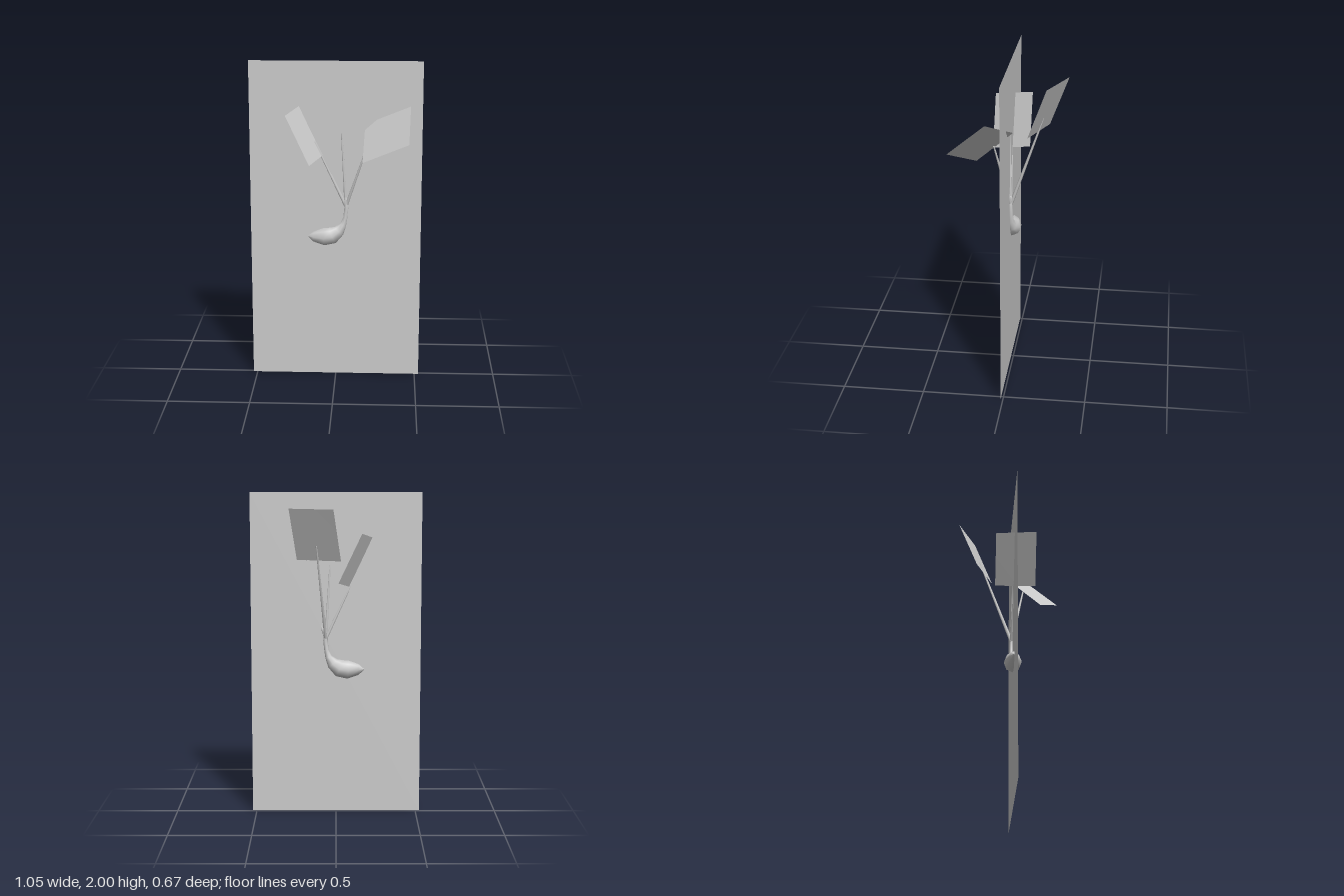
import * as THREE from 'three';

export function createModel() {
  const model = new THREE.Group();
  const smooth = new THREE.MeshStandardMaterial({ color: 0xcccccc });
  const sheet = new THREE.MeshStandardMaterial({ color: 0xcccccc, side: THREE.DoubleSide });

  function add(name, geometry, material) {
    const mesh = new THREE.Mesh(geometry, material);
    mesh.name = name;
    model.add(mesh);
    return mesh;
  }

  // Upright backing panel
  add('panel', new THREE.PlaneGeometry(1.05, 2), sheet).position.set(0, 1, 0.014);

  // Bulb and neck: rings along a bent axis [x, y, half height, half depth]
  const sections = [
    [-0.173, 0.908, 0.003, 0.003], [-0.14, 0.907, 0.034, 0.026],
    [-0.075, 0.905, 0.057, 0.053], [-0.02, 0.915, 0.055, 0.053],
    [0.02, 0.945, 0.038, 0.032], [0.046, 0.985, 0.021, 0.02],
    [0.059, 1.03, 0.014, 0.015], [0.065, 1.09, 0.014, 0.014],
    [0.062, 1.16, 0.012, 0.012],
  ];
  const axis = new THREE.CatmullRomCurve3(sections.map(([x, y]) => new THREE.Vector3(x, y, 0.01)));
  const sides = 8;
  const positions = [], indices = [];
  sections.forEach(([x, y, h, d], i) => {
    const t = axis.getTangent(i / (sections.length - 1));
    for (let j = 0; j < sides; j++) {
      const a = (j / sides) * Math.PI * 2;
      const c = Math.cos(a) * h;
      positions.push(x - t.y * c, y + t.x * c, 0.01 + Math.sin(a) * d);
      if (i === 0) continue;
      const k = (j + 1) % sides;
      const p = (i - 1) * sides, q = i * sides;
      indices.push(p + j, q + j, p + k, q + j, q + k, p + k);
    }
  });
  // End caps
  const last = (sections.length - 1) * sides;
  for (let j = 1; j < sides - 1; j++) {
    indices.push(0, j, j + 1, last, last + j + 1, last + j);
  }
  // Orient the faces outward
  for (let i = 0; i < indices.length; i += 3) {
    [indices[i + 1], indices[i + 2]] = [indices[i + 2], indices[i + 1]];
  }
  const flip = signedVolume(positions, indices) < 0;
  if (flip) indices.reverse();
  const bulb = new THREE.BufferGeometry();
  bulb.setAttribute('position', new THREE.Float32BufferAttribute(positions, 3));
  bulb.setIndex(indices);
  bulb.computeVertexNormals();
  add('bulb', bulb, smooth);

  // Tapered stalks fanning out from the neck
  const fork = new THREE.Vector3(0.063, 1.1, 0.008);
  function stalk(name, x, y, z) {
    const end = new THREE.Vector3(x, y, z);
    const dir = end.clone().sub(fork);
    const mesh = add(name, new THREE.CylinderGeometry(0.005, 0.011, dir.length(), 6), smooth);
    mesh.position.copy(fork).add(end).multiplyScalar(0.5);
    mesh.quaternion.setFromUnitVectors(new THREE.Vector3(0, 1, 0), dir.normalize());
  }
  stalk('rightStalk', -0.128, 1.51, 0.022);
  stalk('leftStalk', 0.205, 1.53, 0.09);
  stalk('backStalk', 0.117, 1.69, -0.194);
  stalk('middleStalk', 0.036, 1.56, 0.018);

  // Flat four-cornered leaves, corners in order around the edge
  function leaf(name, corners) {
    const g = new THREE.BufferGeometry();
    g.setAttribute('position', new THREE.Float32BufferAttribute(corners.flat(), 3));
    g.setIndex([0, 1, 2, 0, 2, 3]);
    g.computeVertexNormals();
    add(name, g, sheet);
  }
  leaf('rightLeaf', [[-0.155, 1.385, 0.145], [-0.015, 1.455, -0.1], [-0.158, 1.755, -0.1], [-0.297, 1.69, 0.145]]);
  leaf('leftLeaf', [[0.167, 1.42, 0.2], [0.44, 1.56, 0.332], [0.451, 1.745, 0.11], [0.178, 1.61, -0.02]]);
  leaf('backLeaf', [[-0.03, 1.6, -0.218], [0.236, 1.6, -0.11], [0.28, 1.912, -0.224], [0.015, 1.912, -0.334]]);
  leaf('middleLeaf', [[-0.04, 1.44, 0.016], [0.098, 1.46, 0.018], [0.082, 1.605, 0.018], [-0.055, 1.59, 0.016]]);

  return model;
}

// Positive when the faces of a closed shape point outward
function signedVolume(p, idx) {
  const v = (i) => new THREE.Vector3(p[i * 3], p[i * 3 + 1], p[i * 3 + 2]);
  let sum = 0;
  for (let i = 0; i < idx.length; i += 3) {
    sum += v(idx[i]).dot(v(idx[i + 1]).cross(v(idx[i + 2])));
  }
  return sum;
}
